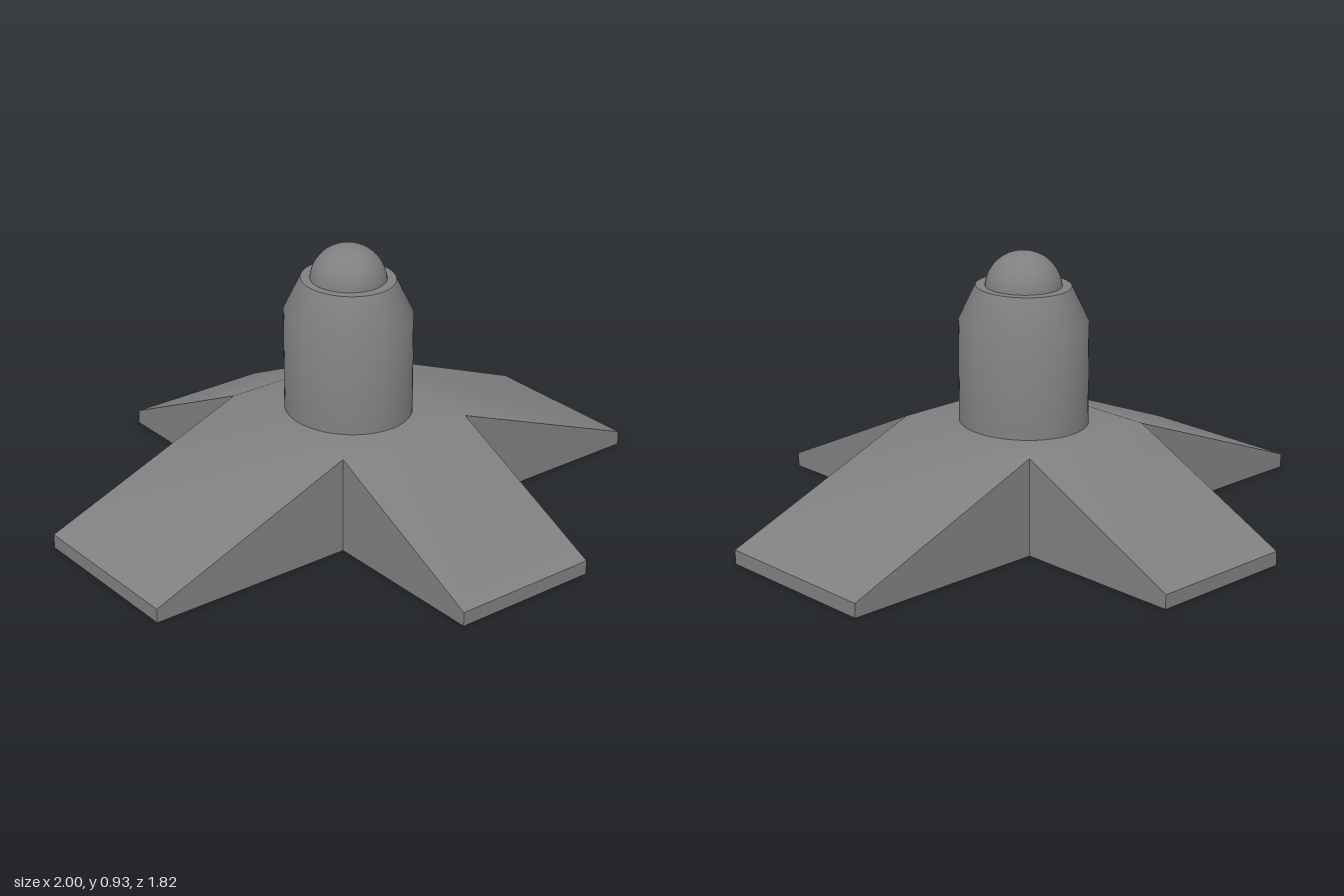
import * as THREE from 'three';
import { mergeGeometries, toCreasedNormals } from 'three/addons/utils/BufferGeometryUtils.js';

const HUB_X = 0.262, HUB_Z = 0.304, TOP = 0.338, TIP = 0.049;
const REACH_X = 1, REACH_Z = 0.912;
const CREASE = 0.6;

// Extrudes an (x, y) outline symmetrically along z
function slab(points, depth) {
  const shape = new THREE.Shape(points.map(([x, y]) => new THREE.Vector2(x, y)));
  return new THREE.ExtrudeGeometry(shape, { depth, bevelEnabled: false }).translate(0, 0, -depth / 2);
}

export function createModel() {
  const model = new THREE.Group();
  const material = new THREE.MeshStandardMaterial({ color: 0x808080 });
  const add = (name, geometry) => {
    const mesh = new THREE.Mesh(geometry, material);
    mesh.name = name;
    model.add(mesh);
    return mesh;
  };

  // Cross-shaped foot: one sloped bar across x, plus a sloped arm front and back
  const bar = slab([
    [-REACH_X, 0], [REACH_X, 0], [REACH_X, TIP],
    [HUB_X, TOP], [-HUB_X, TOP], [-REACH_X, TIP],
  ], 2 * HUB_Z);
  const arms = [-1, 1].map((side) => slab([
    [HUB_Z, 0], [REACH_Z, 0], [REACH_Z, TIP], [HUB_Z, TOP],
  ], 2 * HUB_X).rotateY(side * Math.PI / 2));
  add('crossBase', toCreasedNormals(mergeGeometries([bar, ...arms]), CREASE));

  // Slightly oval post with a tapered shoulder and flat top
  const profile = [[0.212, 0.33], [0.212, 0.69], [0.156, 0.81], [0, 0.81]]
    .map(([r, y]) => new THREE.Vector2(r, y));
  const post = add('post', toCreasedNormals(new THREE.LatheGeometry(profile, 64), CREASE));
  post.scale.z = 0.228 / 0.212;

  // Rounded cap
  const dome = add('dome', new THREE.SphereGeometry(1, 48, 16, 0, Math.PI * 2, 0, Math.PI / 2));
  dome.scale.set(0.128, 0.128, 0.133);
  dome.position.y = 0.799;

  return model;
}
